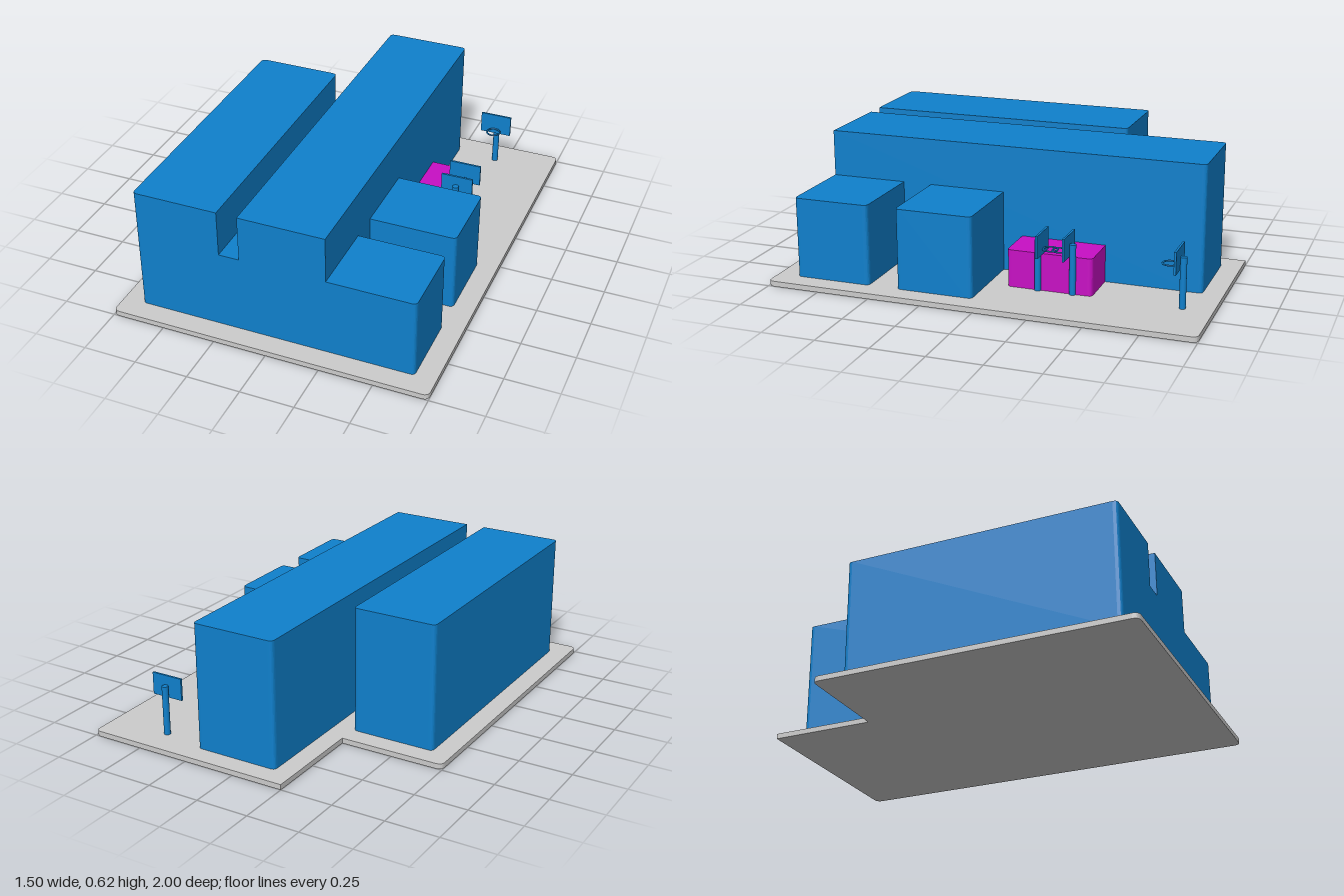
import * as THREE from 'three';

const GROUND = 0.025;
const blue = new THREE.MeshStandardMaterial({ color: 0x0f80cc });
const magenta = new THREE.MeshStandardMaterial({ color: 0xc80fc4 });
const grey = new THREE.MeshStandardMaterial({ color: 0xcccccc });

// Plan outline from [x, z, cornerRadius] points, each corner rounded by its own radius
function planShape(points) {
  const shape = new THREE.Shape();
  const n = points.length;
  const toward = (a, b, r) => {
    const d = Math.hypot(b[0] - a[0], b[1] - a[1]);
    return [a[0] + (b[0] - a[0]) * r / d, -(a[1] + (b[1] - a[1]) * r / d)];
  };
  points.forEach((p, i) => {
    const r = p[2];
    const start = toward(p, points[(i + n - 1) % n], r);
    const end = toward(p, points[(i + 1) % n], r);
    if (i === 0) shape.moveTo(...start);
    else shape.lineTo(...start);
    if (r > 0) shape.quadraticCurveTo(p[0], -p[1], ...end);
  });
  shape.closePath();
  return shape;
}

// Upright prism standing on y0 and reaching y1
function prism(name, points, y0, y1, material) {
  const geometry = new THREE.ExtrudeGeometry(planShape(points), {
    depth: y1 - y0, bevelEnabled: false, curveSegments: 5,
  });
  geometry.rotateX(-Math.PI / 2);
  geometry.translate(0, y0, 0);
  const mesh = new THREE.Mesh(geometry, material);
  mesh.name = name;
  return mesh;
}

// Rectangular block; radii run back left, front left, front right, back right in plan
function block(name, x0, x1, z0, z1, top, radii, material = blue) {
  const corners = [[x0, z0], [x0, z1], [x1, z1], [x1, z0]];
  return prism(name, corners.map((c, i) => [...c, radii[i]]), GROUND, top, material);
}

// Basketball hoop facing +z, with its origin at the backboard
function hoop(name, z, facing) {
  const group = new THREE.Group();
  group.name = name;
  const pole = new THREE.Mesh(new THREE.CylinderGeometry(0.015, 0.015, 0.235, 20), blue);
  pole.name = 'pole';
  pole.position.set(0, GROUND + 0.1175, -0.02);
  const board = new THREE.Mesh(new THREE.BoxGeometry(0.155, 0.105, 0.01), blue);
  board.name = 'backboard';
  board.position.y = 0.252;
  const ring = new THREE.Mesh(new THREE.TorusGeometry(0.033, 0.004, 8, 28), blue);
  ring.name = 'ring';
  ring.rotation.x = Math.PI / 2;
  ring.position.set(0, 0.225, 0.04);
  group.add(pole, board, ring);
  group.position.set(0.45, 0, z);
  if (facing < 0) group.rotation.y = Math.PI;
  return group;
}

export function createModel() {
  const model = new THREE.Group();
  model.name = 'buildingSite';
  const r = 0.022;

  // L-shaped ground slab
  model.add(prism('groundSlab', [
    [-0.75, -0.5, 0.03], [-0.75, 1, 0.03], [0.75, 1, 0.03],
    [0.75, -1, 0.03], [-0.25, -1, 0], [-0.25, -0.5, 0],
  ], 0, GROUND, grey));

  // Two tall wings
  model.add(block('rightTallWing', -0.655, -0.253, -0.405, 0.9, 0.62, [r, r, 0, r]));
  model.add(block('centreTallWing', -0.157, 0.247, -0.905, 0.9, 0.62, [r, 0, 0, r]));

  // Low wings and the front link between the tall ones
  model.add(block('frontLowWing', 0.247, 0.652, 0.54, 0.9, 0.402, [0, 0, r, r]));
  model.add(block('rearLowWing', 0.247, 0.652, 0.04, 0.402, 0.402, [0, 0, r, r]));
  model.add(block('frontLink', -0.253, -0.157, 0.54, 0.9, 0.402, [0, 0, 0, 0]));

  // Small coloured annexes
  model.add(block('sideAnnex', 0.247, 0.45, -0.452, -0.052, 0.2, [0, 0, r, r], magenta));
  model.add(block('innerAnnex', -0.253, -0.157, 0.048, 0.45, 0.2, [0, 0, 0, 0], magenta));

  // Basketball hoops on the yard
  model.add(hoop('backHoop', -0.842, 1));
  model.add(hoop('middleHoop', -0.342, 1));
  model.add(hoop('frontHoop', -0.218, -1));
  return model;
}
